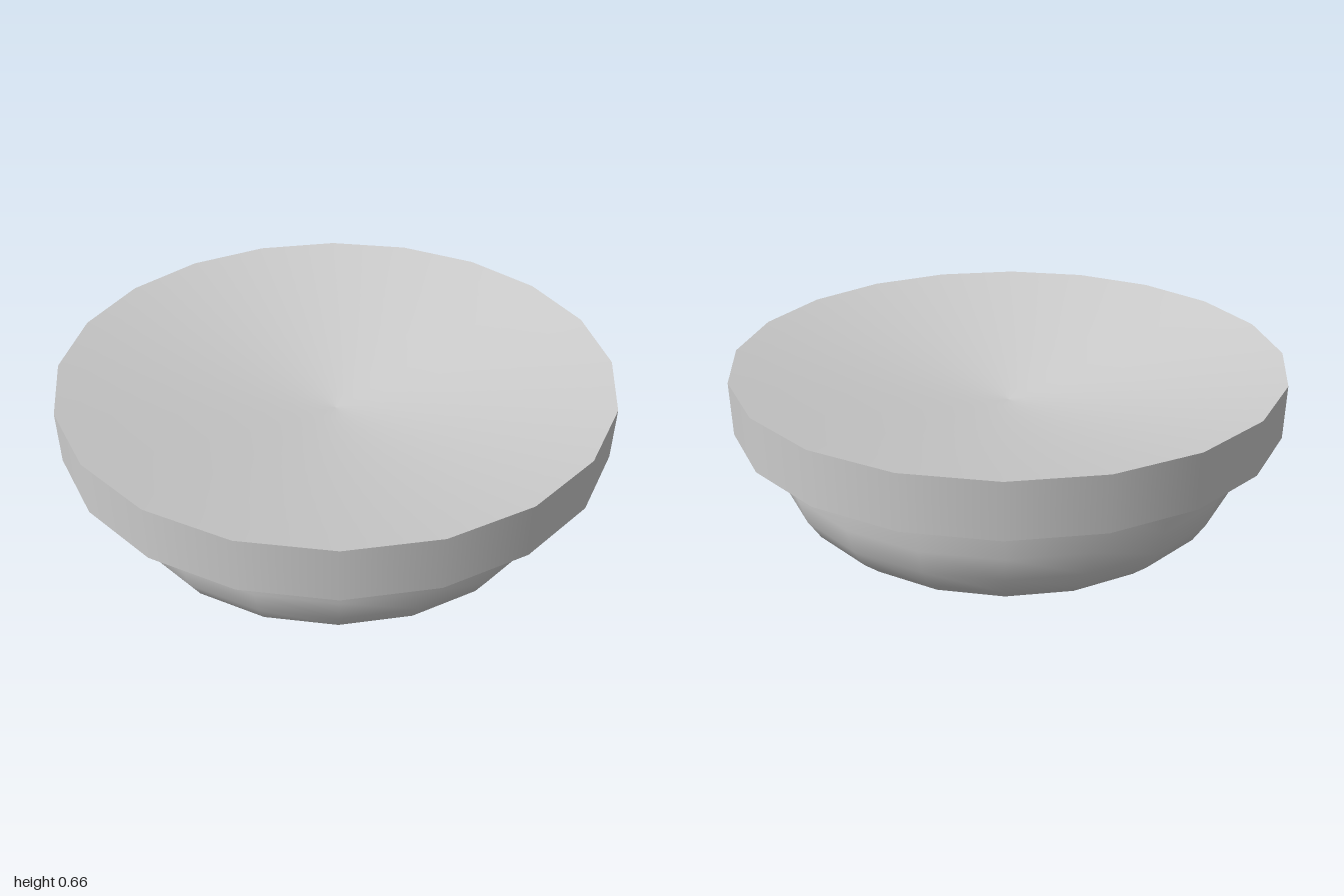
import * as THREE from 'three';

const SIDES = 20;

// Revolve [radius, height] points, listed bottom centre -> rim -> top centre
function revolve(name, points, material) {
  const profile = points.map(([r, y]) => new THREE.Vector2(r, y));
  const mesh = new THREE.Mesh(new THREE.LatheGeometry(profile, SIDES), material);
  mesh.name = name;
  return mesh;
}

export function createModel() {
  const material = new THREE.MeshStandardMaterial({ color: 0xcccccc });
  const model = new THREE.Group();
  model.name = 'roundDish';

  // Rounded bowl with a nearly flat base
  model.add(revolve('bowl', [
    [0, 0], [0.475, 0.003], [0.565, 0.013], [0.65, 0.043], [0.73, 0.09],
    [0.795, 0.15], [0.84, 0.225], [0.865, 0.318], [0.865, 0.453],
  ], material));

  // Thick overhanging rim, creased at its edges, with a funnel-like dished top
  const rim = new THREE.Group();
  rim.name = 'rim';
  const dish = [];
  for (let i = 0; i <= 12; i++) {
    const r = 1 - i / 12;
    dish.push([r, 0.661 - 0.19 * (1 - r ** 1.25)]);
  }
  rim.add(
    revolve('rimUnderside', [[0.86, 0.452], [1, 0.467]], material),
    revolve('rimWall', [[1, 0.467], [1, 0.661]], material),
    revolve('dishedTop', dish, material),
  );
  model.add(rim);
  return model;
}
